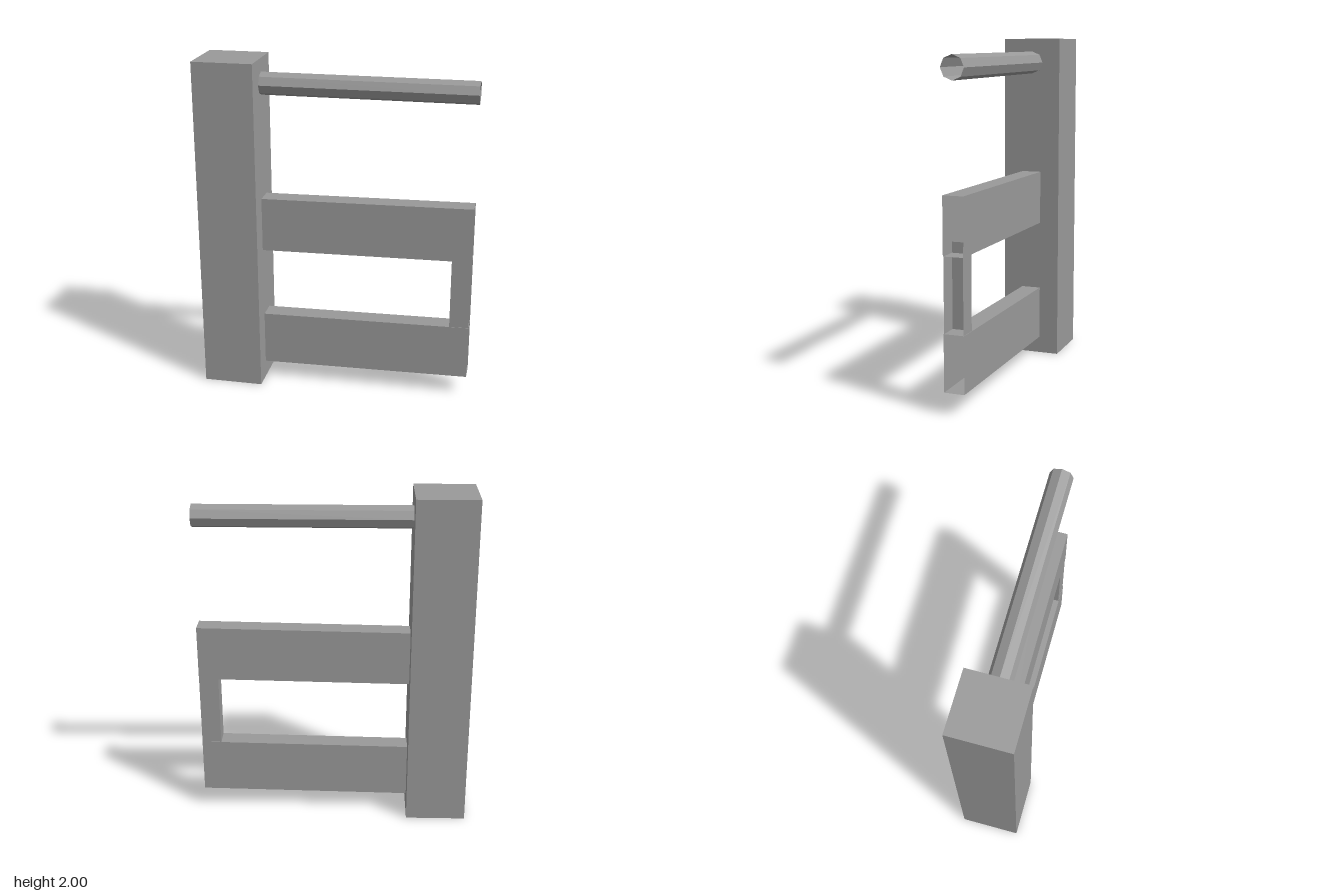
import * as THREE from 'three';

export function createModel() {
  const model = new THREE.Group();
  const grey = new THREE.MeshStandardMaterial({ color: 0x999999, side: THREE.DoubleSide });
  grey.name = 'grey';

  const add = (name, geometry, x, y, z) => {
    const mesh = new THREE.Mesh(geometry, grey);
    mesh.name = name;
    mesh.position.set(x, y, z);
    model.add(mesh);
    return mesh;
  };

  // Box without some of its faces (order: +x, -x, +y, -y, +z, -z)
  const openBox = (w, h, d, openFaces) => {
    const geometry = new THREE.BoxGeometry(w, h, d);
    const index = Array.from(geometry.index.array);
    geometry.setIndex(index.filter((_, i) => !openFaces.includes(Math.floor(i / 6))));
    geometry.clearGroups();
    return geometry;
  };

  const start = -0.447, end = 0.803;
  const length = end - start, middle = (start + end) / 2;

  // Solid square post
  add('post', new THREE.BoxGeometry(0.356, 2, 0.356), -0.625, 1, 0);

  // Hollow rails that rise slightly away from the post
  const slope = 0.02 / length;
  for (const [name, y] of [['lowerRail', 0.275], ['upperRail', 1.022]]) {
    const rail = openBox(length, 0.325, 0.118, [0, 1]);
    const p = rail.attributes.position;
    for (let i = 0; i < p.count; i++) p.setY(i, p.getY(i) + p.getX(i) * slope);
    rail.computeVertexNormals();
    add(name, rail, middle, y, 0);
  }

  // Half upright at the free end, open on the outer side
  add('upright', openBox(0.115, 0.51, 0.112, [0, 2, 3]), end - 0.0575, 0.673, 0);

  // Hollow eight-sided handrail
  const tube = new THREE.CylinderGeometry(0.067, 0.067, length, 8, 1, true).toNonIndexed();
  tube.computeVertexNormals();
  tube.rotateZ(-Math.PI / 2);
  add('handrail', tube, middle, 1.855, -0.002);

  return model;
}
